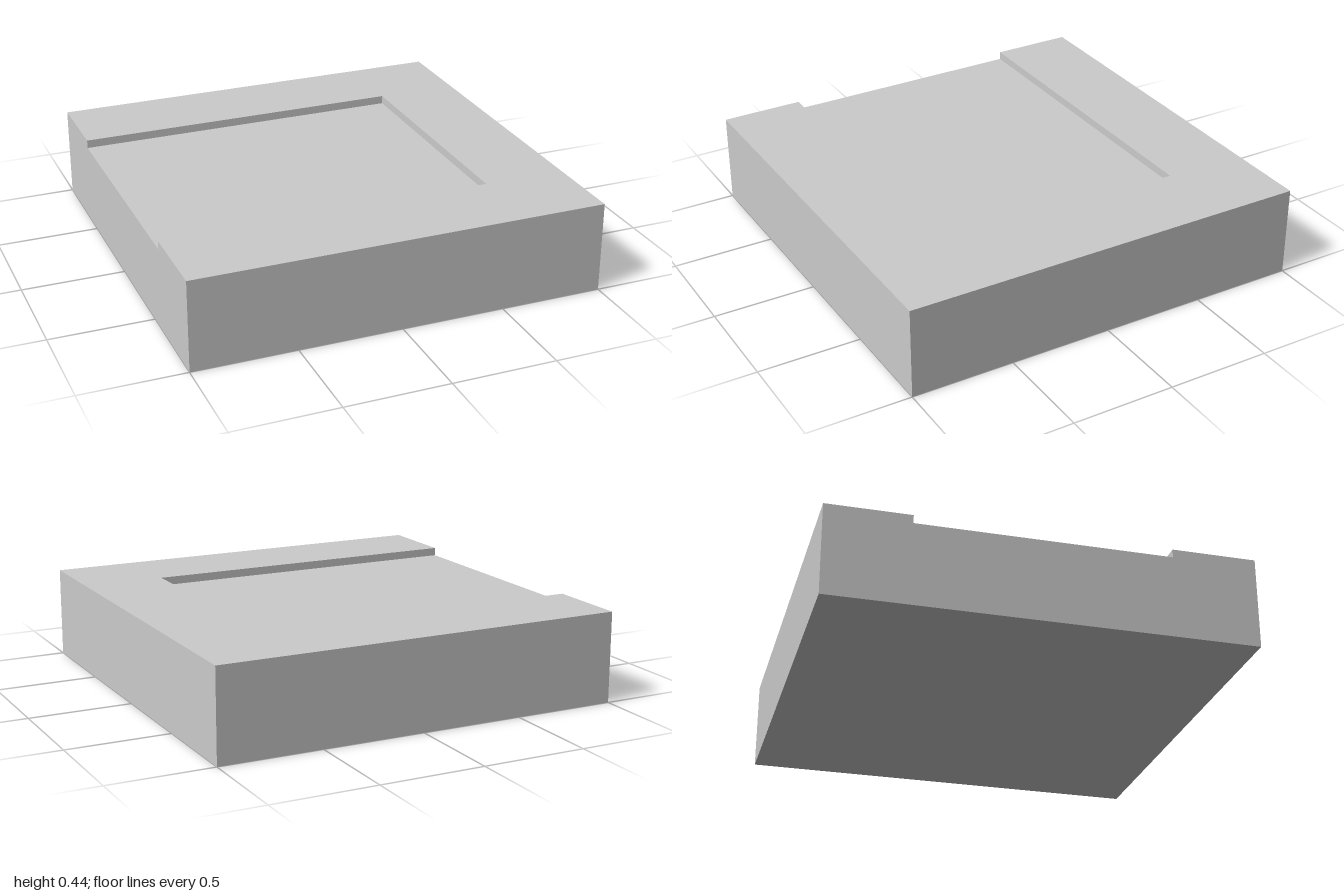
import * as THREE from 'three';

const HEIGHT = 0.44, FLOOR = 0.40;
// Grid lines; a doubled line becomes a vertical wall of the recess.
const X_LINES = [-1, 0.6, 0.6, 1];
const Z_LINES = [-1, -0.6, -0.6, 0.6, 0.6, 1];

// One closed block whose top is lowered inside the recess, open on the -x side.
function recessedBlock() {
  const nx = X_LINES.length - 1, nz = Z_LINES.length - 1;
  const geometry = new THREE.BoxGeometry(nx, 1, nz, nx, 1, nz);
  const p = geometry.attributes.position;
  for (let v = 0; v < p.count; v++) {
    const i = Math.round(p.getX(v) + nx / 2);
    const k = Math.round(p.getZ(v) + nz / 2);
    const inRecess = i <= 1 && (k === 2 || k === 3);
    const top = inRecess ? FLOOR : HEIGHT;
    p.setXYZ(v, X_LINES[i], p.getY(v) > 0 ? top : 0, Z_LINES[k]);
  }
  const flat = geometry.toNonIndexed();
  flat.computeVertexNormals();
  return flat;
}

export function createModel() {
  const group = new THREE.Group();
  group.name = 'recessedSlab';
  const material = new THREE.MeshStandardMaterial({ color: 0xcccccc, flatShading: true });
  const slab = new THREE.Mesh(recessedBlock(), material);
  slab.name = 'slabWithOpenRecess';
  group.add(slab);
  return group;
}
